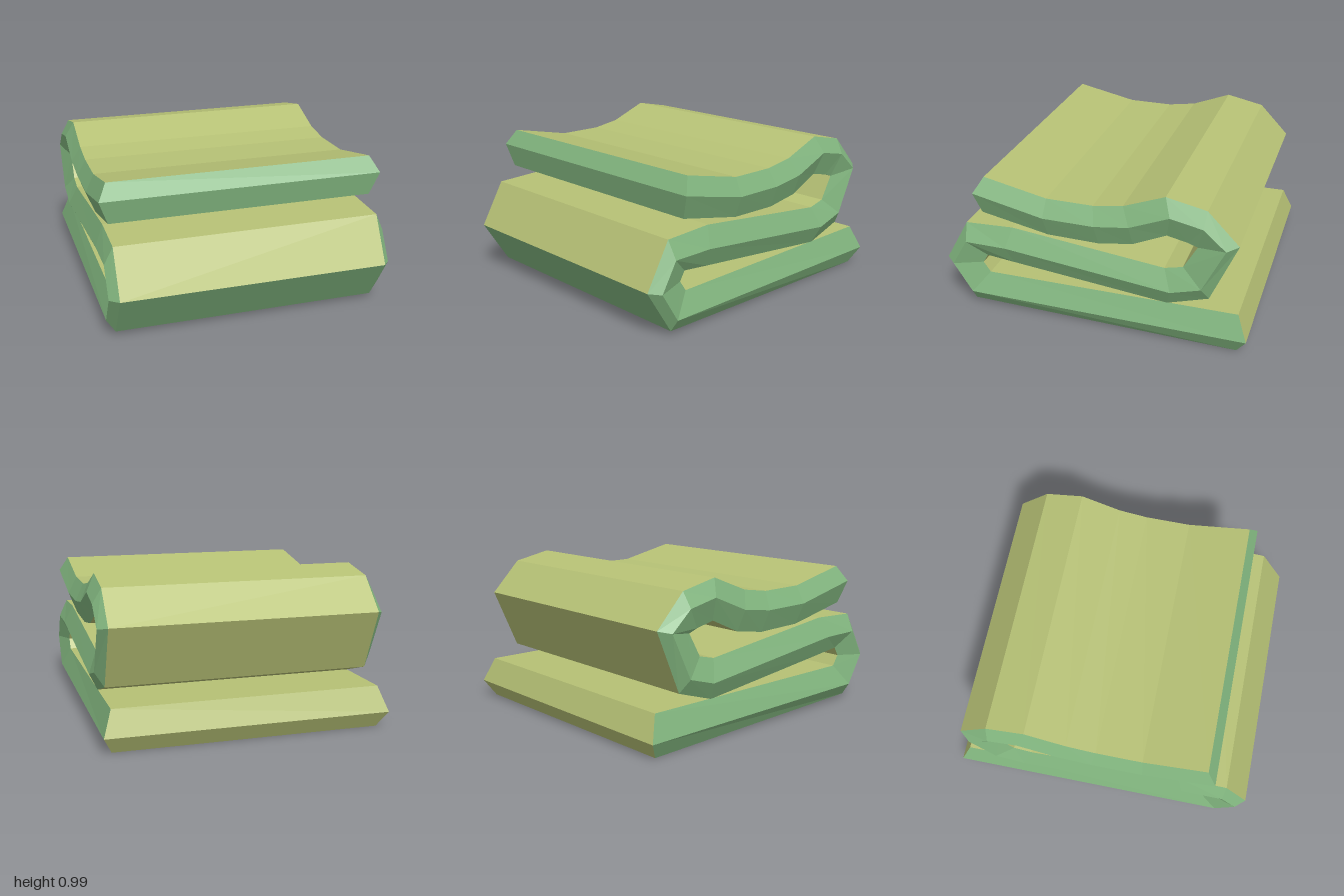
import * as THREE from 'three';

// Stations along the folded cloth, from the top free end to the bottom free end.
// Each holds [z, y] of one face edge, the side ridge, and the other face edge.
const STATIONS = [
  [[0.69, 0.94], [0.75, 0.84], [0.72, 0.69]],
  [[0.28, 0.855], [0.29, 0.743], [0.28, 0.604]],
  [[-0.02, 0.855], [-0.04, 0.743], [-0.05, 0.60]],
  [[-0.21, 0.885], [-0.26, 0.775], [-0.27, 0.636]],
  [[-0.47, 0.987], [-0.51, 0.88], [-0.48, 0.733]],
  [[-0.72, 0.936], [-0.71, 0.84], [-0.61, 0.706]],
  [[-0.917, 0.733], [-0.85, 0.717], [-0.67, 0.685]],
  [[-0.75, 0.342], [-0.71, 0.428], [-0.585, 0.535]],
  [[-0.49, 0.257], [-0.52, 0.37], [-0.47, 0.506]],
  [[0.525, 0.355], [0.557, 0.48], [0.52, 0.61]],
  [[0.71, 0.374], [0.83, 0.48], [0.84, 0.594]],
  [[0.745, 0.315], [0.935, 0.30], [1.0, 0.31]],
  [[0.70, 0.248], [0.815, 0.107], [0.82, 0.025]],
  [[-0.935, 0.265], [-1.0, 0.107], [-0.935, 0.0]],
];
const HALF_WIDTH = [0.85, 0.905, 0.85]; // the ridge stands out past both faces

// Corner of station i, edge k (0 face, 1 ridge, 2 face), side s (-1 or 1)
const corner = (i, k, s) => [s * HALF_WIDTH[k], STATIONS[i][k][1], STATIONS[i][k][0]];

// Flat-faceted mesh from a list of four-cornered faces
function quadMesh(name, quads, material) {
  const pos = [];
  for (const [a, b, c, d] of quads) pos.push(...a, ...b, ...c, ...a, ...c, ...d);
  const geo = new THREE.BufferGeometry();
  geo.setAttribute('position', new THREE.Float32BufferAttribute(pos, 3));
  geo.computeVertexNormals();
  const mesh = new THREE.Mesh(geo, material);
  mesh.name = name;
  return mesh;
}

export function createModel() {
  const olive = new THREE.MeshStandardMaterial({ color: 0xb6c175 });
  olive.name = 'olive cloth';
  const green = new THREE.MeshStandardMaterial({ color: 0x82b67f });
  green.name = 'green trim';

  const last = STATIONS.length - 1;
  const outer = [], inner = [], sides = [], frontFold = [], topHem = [], bottomHem = [];

  for (let i = 0; i < last; i++) {
    const j = i + 1;
    // the two broad faces; one panel of the front fold is trim
    outer.push([corner(i, 0, -1), corner(i, 0, 1), corner(j, 0, 1), corner(j, 0, -1)]);
    (i === 11 ? frontFold : inner).push(
      [corner(i, 2, 1), corner(i, 2, -1), corner(j, 2, -1), corner(j, 2, 1)]);
    // bevelled side edges
    for (const k of [0, 1]) for (const s of [-1, 1]) {
      const q = [corner(i, k, s), corner(i, k + 1, s), corner(j, k + 1, s), corner(j, k, s)];
      sides.push(s > 0 ? q : q.reverse());
    }
  }

  // bevelled hems at the free ends
  for (const k of [0, 1]) {
    topHem.push([corner(0, k, -1), corner(0, k + 1, -1), corner(0, k + 1, 1), corner(0, k, 1)]);
    bottomHem.push([corner(last, k, 1), corner(last, k + 1, 1), corner(last, k + 1, -1), corner(last, k, -1)]);
  }

  const group = new THREE.Group();
  group.name = 'foldedBlanket';
  group.add(
    quadMesh('upperFace', outer, olive),
    quadMesh('lowerFace', inner, olive),
    quadMesh('sideTrim', sides, green),
    quadMesh('frontFoldTrim', frontFold, green),
    quadMesh('topHem', topHem, green),
    quadMesh('bottomHem', bottomHem, olive),
  );
  return group;
}
